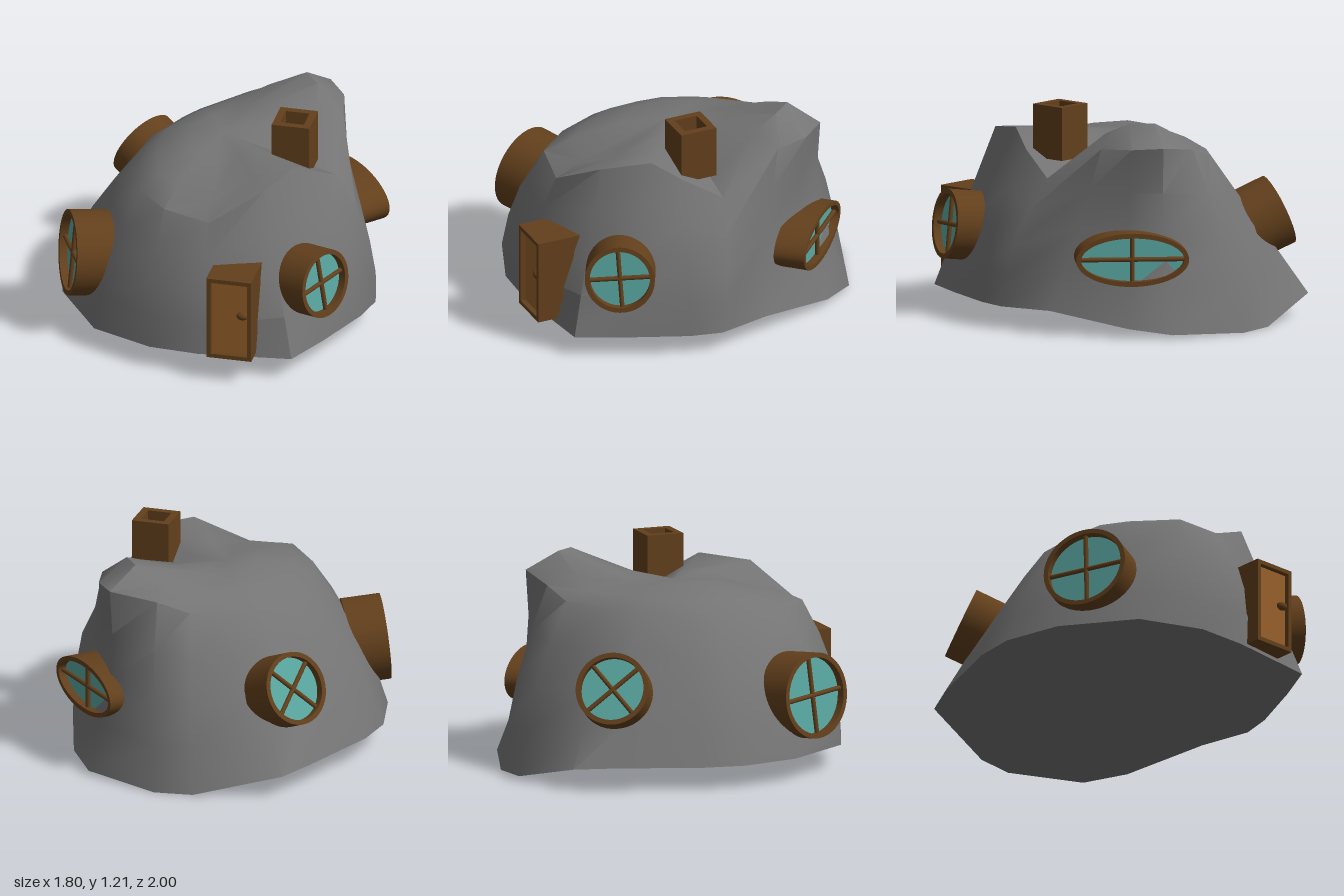
import * as THREE from 'three';
import { toCreasedNormals } from 'three/addons/utils/BufferGeometryUtils.js';

const mat = (color) => new THREE.MeshStandardMaterial({ color });
const rockMat = mat(0x747474), wood = mat(0x63401c), doorWood = mat(0x96602a);
const glass = mat(0x5aa8a2);
glass.side = THREE.DoubleSide;

function add(parent, name, geometry, material, x = 0, y = 0, z = 0) {
  const mesh = new THREE.Mesh(geometry, material);
  mesh.name = name;
  mesh.position.set(x, y, z);
  parent.add(mesh);
  return mesh;
}

// Columns around the rock: foot x, foot z, rim x, rim y, rim z, outward bulge
const columns = [
  [0.90, 0.10, 0.65, 0.83, -0.02, 0.08],
  [0.86, 0.28, 0.58, 0.96, 0.20, 0.06],
  [0.72, 0.62, 0.50, 1.06, 0.35, 0.03],
  [0.60, 0.87, 0.38, 1.02, 0.61, 0.00],
  [0.08, 0.93, 0.10, 0.86, 0.75, 0.07],
  [-0.20, 0.92, -0.17, 0.89, 0.70, 0.06],
  [-0.55, 0.78, -0.35, 0.88, 0.50, 0.07],
  [-0.82, 0.40, -0.42, 0.90, 0.28, 0.06],
  [-0.90, 0.07, -0.46, 0.88, 0.05, 0.05],
  [-0.87, -0.17, -0.43, 0.89, -0.13, 0.04],
  [-0.70, -0.65, -0.30, 0.92, -0.33, 0.02],
  [-0.60, -0.85, -0.23, 0.93, -0.42, 0.00],
  [-0.12, -0.98, 0.00, 0.95, -0.65, 0.04],
  [0.10, -1.00, 0.18, 1.01, -0.69, 0.04],
  [0.53, -0.85, 0.45, 1.05, -0.71, -0.08],
  [0.68, -0.65, 0.56, 1.04, -0.57, -0.09],
  [0.83, -0.20, 0.60, 1.03, -0.38, -0.03],
];

// The underside drops towards the back and lifts at the back corner
const footY = (x, z) =>
  Math.min(0.13, 0.125 - 0.156 * Math.max(0, -0.2 - z) + 0.2 * Math.max(0, -x - 0.12));

// One column of points: underside centre, wall, rim, crown
function columnPoints([bx, bz, rx, ry, rz, bulge]) {
  const foot = new THREE.Vector3(bx, footY(bx, bz), bz);
  const rim = new THREE.Vector3(rx, ry, rz);
  const out = new THREE.Vector3(bx, 0, bz).normalize();
  const points = [new THREE.Vector3(0, 0.1, 0)];
  for (let t = 0; t <= 1; t += 0.25) {
    points.push(foot.clone().lerp(rim, t).addScaledVector(out, bulge * Math.sin(Math.PI * t)));
  }
  // The crown is domed on one side and has a peak at the back of the other
  const crown = new THREE.Vector3(0, 1.03, 0);
  for (const t of [0.22, 0.6]) {
    const p = rim.clone().lerp(crown, t);
    const dome = 0.07 * Math.max(0, 0.5 - rx) * Math.sin(Math.PI * t);
    p.y += dome + 0.13 * Math.exp(-((p.x - 0.4) ** 2 + (p.z + 0.49) ** 2) / 0.06);
    points.push(p);
  }
  points.push(crown);
  return points;
}

function rockGeometry() {
  const grid = columns.map(columnPoints), n = grid.length, rows = grid[0].length;
  const index = [];
  for (let i = 0; i < n; i++) {
    for (let j = 0; j < rows - 1; j++) {
      const a = i * rows + j, b = ((i + 1) % n) * rows + j;
      if (j > 0) index.push(a, a + 1, b);
      if (j < rows - 2) index.push(b, a + 1, b + 1);
    }
  }
  const g = new THREE.BufferGeometry().setFromPoints(grid.flat());
  g.setIndex(index);
  return toCreasedNormals(g, 0.75);
}

// Rectangular tube along z, with its front at z = 0
function boxFrame(w, h, wall, depth) {
  const rect = (Type, a, b) => new Type([[-a, -b], [a, -b], [a, b], [-a, b]]
    .map(([x, y]) => new THREE.Vector2(x / 2, y / 2)));
  const shape = rect(THREE.Shape, w, h);
  shape.holes.push(rect(THREE.Path, w - 2 * wall, h - 2 * wall));
  return new THREE.ExtrudeGeometry(shape, { depth, bevelEnabled: false }).translate(0, 0, -depth);
}

// Round window: deep ring, recessed pane and crossed bars
function makeWindow(name, rx, ry, depth, position, normal, roll) {
  const group = new THREE.Group(), wall = 0.027;
  group.name = name;
  const shape = new THREE.Shape().absellipse(0, 0, rx, ry, 0, Math.PI * 2);
  shape.holes.push(new THREE.Path().absellipse(0, 0, rx - wall, ry - wall, 0, Math.PI * 2));
  const ring = new THREE.ExtrudeGeometry(shape, { depth, bevelEnabled: false, curveSegments: 32 });
  add(group, 'windowFrame', toCreasedNormals(ring, 0.6), wood, 0, 0, -depth);
  const pane = new THREE.CircleGeometry(1, 40).scale(rx - wall / 2, ry - wall / 2, 1);
  add(group, 'windowPane', pane, glass, 0, 0, -0.045);
  const bar = (length) => new THREE.CylinderGeometry(0.013, 0.013, length, 10);
  add(group, 'uprightBar', bar(2 * ry - wall), wood, 0, 0, -0.03);
  add(group, 'crossBar', bar(2 * rx - wall), wood, 0, 0, -0.03).rotation.z = Math.PI / 2;
  group.position.set(...position);
  group.lookAt(group.position.clone().add(new THREE.Vector3(...normal)));
  group.rotateZ(roll);
  return group;
}

export function createModel() {
  const model = new THREE.Group();
  model.name = 'rockHouse';
  add(model, 'rock', rockGeometry(), rockMat);

  // Chimney
  add(model, 'chimney', boxFrame(0.215, 0.215, 0.04, 0.3), wood, 0.432, 1.215, 0.078)
    .rotation.x = -Math.PI / 2;

  // Door with frame and knob
  const door = new THREE.Group();
  door.name = 'door';
  door.position.set(0.273, 0.398, 1.0);
  add(door, 'doorFrame', boxFrame(0.257, 0.495, 0.024, 0.3), wood);
  add(door, 'doorPanel', new THREE.BoxGeometry(0.215, 0.455, 0.2), doorWood, 0, 0, -0.13);
  add(door, 'doorKnob', new THREE.SphereGeometry(0.03, 20, 12).scale(1.1, 0.8, 0.8), wood, 0.073, 0.025, -0.02);
  model.add(door);

  // Windows
  model.add(
    makeWindow('frontLeftWindow', 0.195, 0.195, 0.26, [0.745, 0.51, 0.66], [0.88, 0.12, 0.45], 0.08),
    makeWindow('frontRightWindow', 0.245, 0.24, 0.22, [-0.755, 0.465, 0.55], [-0.9, 0.1, 0.41], 0.06),
    makeWindow('backLeftWindow', 0.315, 0.15, 0.18, [0.628, 0.435, -0.64], [0.69, 0, -0.72], 0),
    makeWindow('backRightWindow', 0.205, 0.205, 0.28, [-0.61, 0.565, -0.62], [-0.78, 0.4, -0.49], 0.75),
  );
  return model;
}
